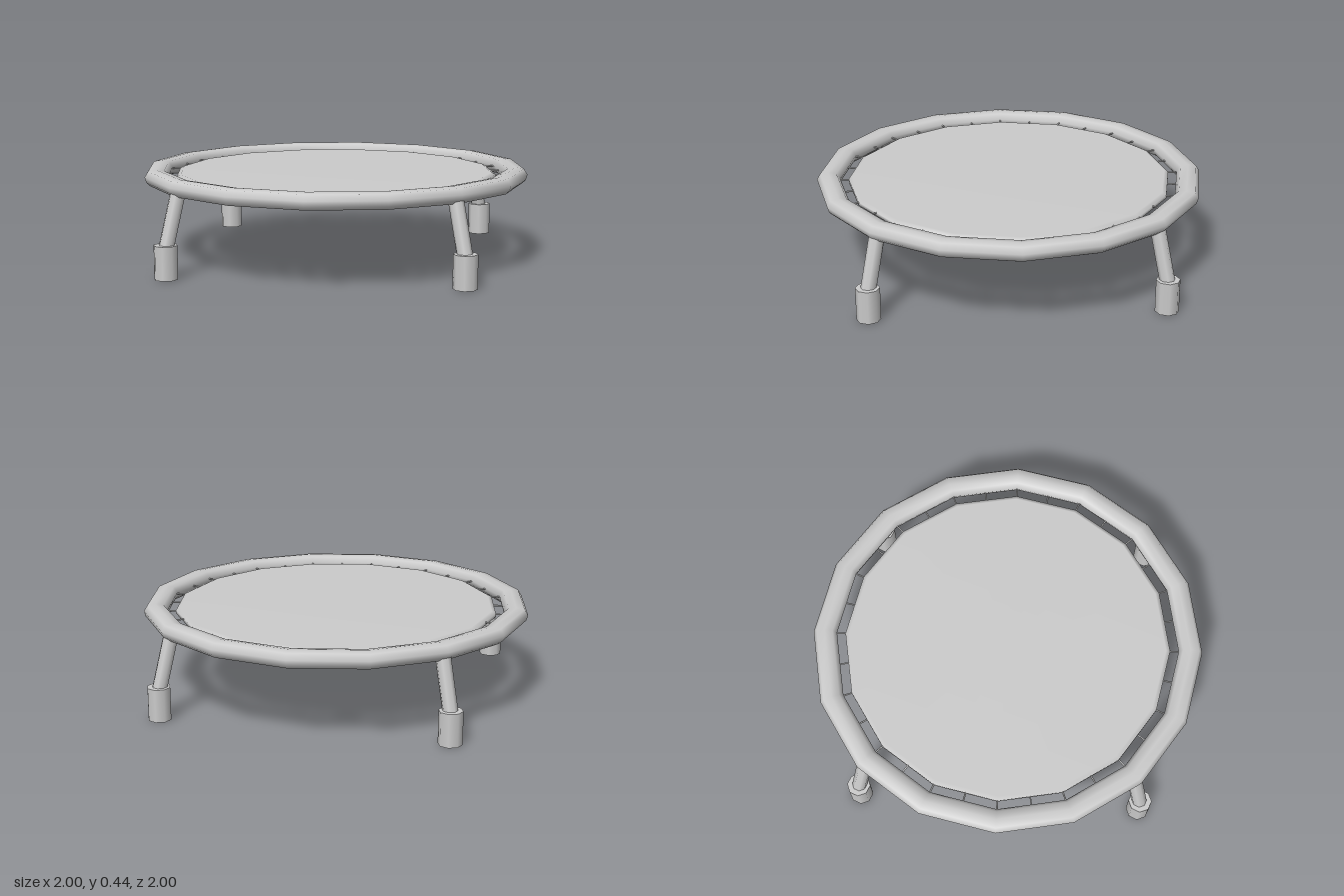
import * as THREE from 'three';

const material = new THREE.MeshStandardMaterial({ color: 0xcccccc });
const SIDES = 16;

function addMesh(parent, name, geometry) {
  const mesh = new THREE.Mesh(geometry, material);
  mesh.name = name;
  parent.add(mesh);
  return mesh;
}

// Sixteen-sided solid of revolution with its corners on the axes
function turned(points) {
  return new THREE.LatheGeometry(points.map(([r, y]) => new THREE.Vector2(r, y)), SIDES);
}

// Cylinder between two points
function addRod(parent, name, from, to, radius, sides) {
  const dir = to.clone().sub(from);
  const rod = addMesh(parent, name, new THREE.CylinderGeometry(radius, radius, dir.length(), sides));
  rod.position.copy(from).add(to).multiplyScalar(0.5);
  rod.quaternion.setFromUnitVectors(new THREE.Vector3(0, 1, 0), dir.normalize());
  return rod;
}

export function createModel() {
  const model = new THREE.Group();
  model.name = 'trampoline';

  // Padded outer ring
  addMesh(model, 'rim', turned([
    [0.865, 0.365], [0.896, 0.368], [0.913, 0.384], [0.921, 0.41], [0.904, 0.437], [0.865, 0.443],
    [0.828, 0.437], [0.81, 0.41], [0.817, 0.384], [0.834, 0.368], [0.865, 0.365],
  ]));

  // Jumping mat with a softened edge
  addMesh(model, 'mat', turned([
    [0, 0.385], [0.75, 0.385], [0.77, 0.392], [0.77, 0.408], [0.75, 0.418], [0, 0.418],
  ]));

  // Short springs between mat and rim
  const springs = new THREE.Group();
  springs.name = 'springs';
  model.add(springs);
  for (let i = 0; i < SIDES * 2; i++) {
    const a = (i / (SIDES * 2)) * Math.PI * 2;
    // Odd springs sit at the middle of a straight side, closer to the centre
    const k = i % 2 ? Math.cos(Math.PI / SIDES) : 1;
    const at = (r) => new THREE.Vector3(Math.sin(a) * r * k, 0.405, Math.cos(a) * r * k);
    addRod(springs, 'spring', at(0.755), at(0.83), 0.004, 6);
  }

  // Four splayed legs with thick feet
  for (let i = 0; i < 4; i++) {
    const leg = new THREE.Group();
    leg.name = 'leg';
    leg.rotation.y = (i * Math.PI) / 2;
    addRod(leg, 'legTube', new THREE.Vector3(0, 0.1, 0.953), new THREE.Vector3(0, 0.4, 0.872), 0.035, 8);
    const foot = addMesh(leg, 'foot', new THREE.CylinderGeometry(0.055, 0.055, 0.155, 8));
    foot.position.set(0, 0.0775, 0.945);
    model.add(leg);
  }

  return model;
}
